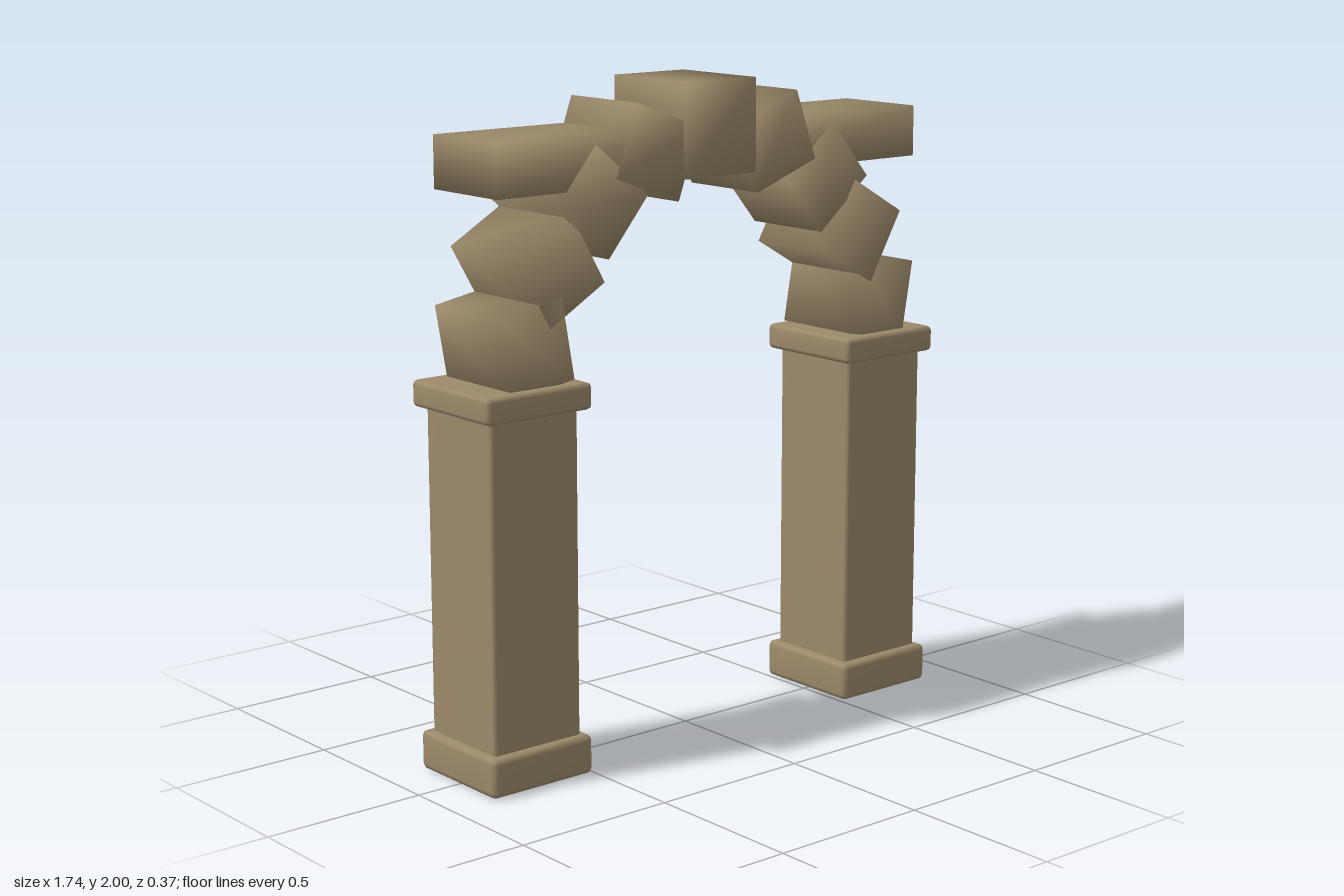
import * as THREE from 'three';
import { mergeVertices } from 'three/addons/utils/BufferGeometryUtils.js';
import { RoundedBoxGeometry } from 'three/addons/geometries/RoundedBoxGeometry.js';

const stone = new THREE.MeshStandardMaterial({ color: 0x9c8a6a });
stone.name = 'sandstone';

// Weld the corners so shading rolls softly over the edges
function soften(geometry) {
  geometry.deleteAttribute('normal');
  geometry.deleteAttribute('uv');
  const welded = mergeVertices(geometry, 1e-4);
  welded.clearGroups();
  welded.computeVertexNormals();
  return welded;
}

// Box given by size and centre; bevel > 0 chamfers its edges
function block(name, [w, h, d], [x, y, z], angle = 0, bevel = 0) {
  const geometry = bevel
    ? new RoundedBoxGeometry(w, h, d, 1, bevel)
    : new THREE.BoxGeometry(w, h, d);
  const mesh = new THREE.Mesh(soften(geometry), stone);
  mesh.name = name;
  mesh.position.set(x, y, z);
  mesh.rotation.z = THREE.MathUtils.degToRad(angle);
  return mesh;
}

export function createModel() {
  const arch = new THREE.Group();
  arch.name = 'stoneArch';

  // Tilted arch stones on the +x side: centre x, centre y, angle
  const stones = [
    [0.23, 1.804, 20],
    [0.434, 1.679, 40],
    [0.587, 1.5, 60],
    [0.672, 1.285, 80],
  ];

  for (const [side, s] of [['left', 1], ['right', -1]]) {
    // Pillar: plinth, shaft and cap
    const pillar = new THREE.Group();
    pillar.name = side + 'Pillar';
    pillar.add(
      block('plinth', [0.36, 0.12, 0.365], [s * 0.685, 0.065, 0], 0, 0.018),
      block('shaft', [0.31, 1.02, 0.31], [s * 0.685, 0.61, 0], 0, 0.012),
      block('cap', [0.37, 0.08, 0.37], [s * 0.684, 1.135, 0], 0, 0.015),
    );
    arch.add(pillar);

    // Arch stones
    stones.forEach(([x, y, angle], i) => {
      arch.add(block(side + 'ArchStone' + (i + 1), [0.245, 0.225, 0.304], [s * x, y, 0], s * angle));
    });

    // Lintel running outwards from the crown
    arch.add(block(side + 'Lintel', [0.6, 0.155, 0.3], [s * 0.5, 1.795, 0]));
  }

  // Keystone at the crown
  arch.add(block('keystone', [0.268, 0.28, 0.33], [-0.002, 1.86, 0]));
  return arch;
}
